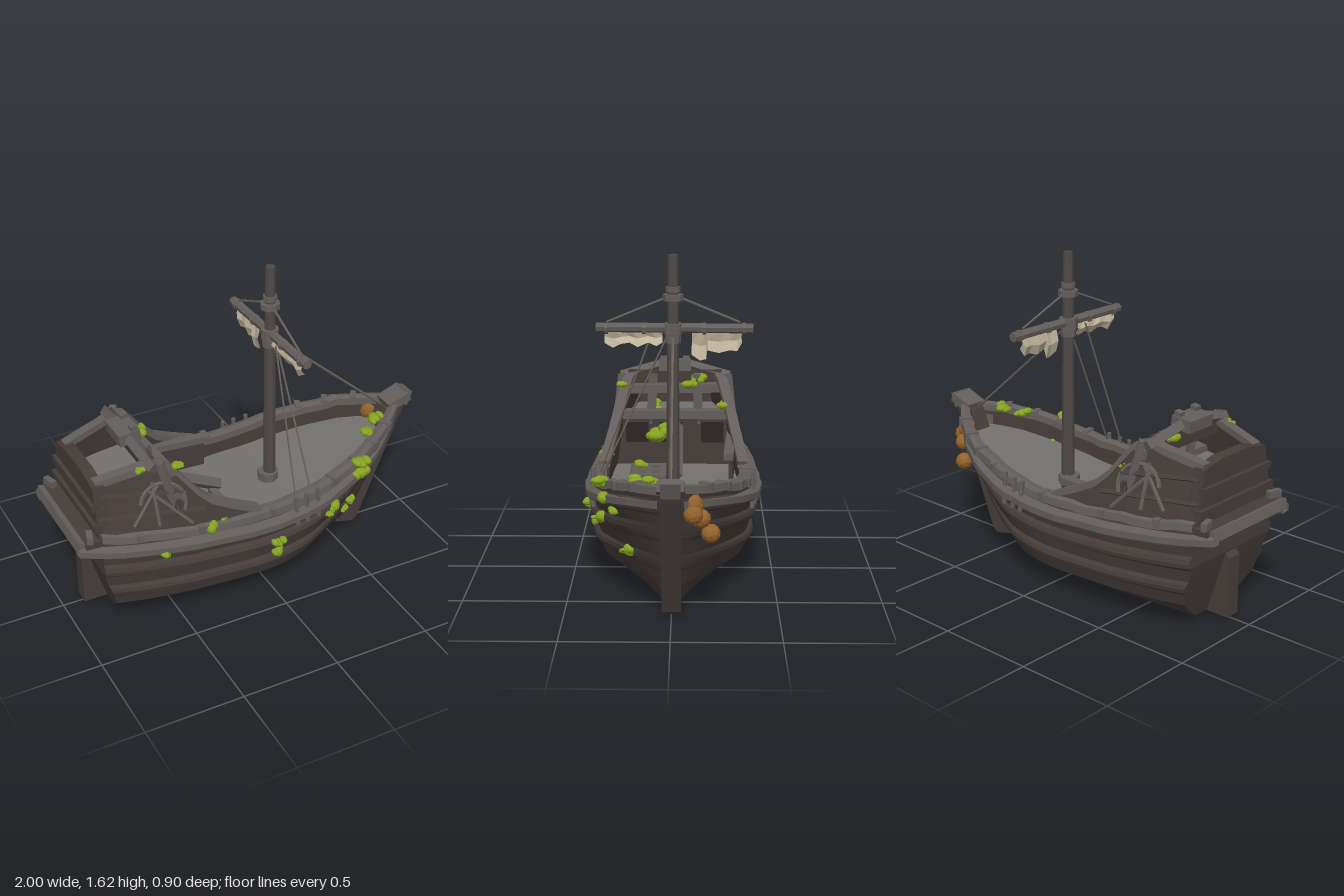
import * as THREE from 'three';

const V = (x, y, z) => new THREE.Vector3(x, y, z);
const lerp = THREE.MathUtils.lerp;
const paint = (name, color) => new THREE.MeshStandardMaterial({ name, color, flatShading: true, side: THREE.DoubleSide });

// piecewise-linear lookup in [[x, y], ...]
function look(table, x) {
  if (x <= table[0][0]) return table[0][1];
  for (let i = 1; i < table.length; i++) {
    const [a, b] = [table[i - 1], table[i]];
    if (x <= b[0]) return lerp(a[1], b[1], (x - a[0]) / (b[0] - a[0]));
  }
  return table[table.length - 1][1];
}

// hull lines: half-width along the length, rail height, and section with raised wales
const PLAN = [[-0.07, 0.275], [0, 0.315], [0.1, 0.36], [0.25, 0.4], [0.4, 0.42], [0.52, 0.425], [0.66, 0.4],
  [0.78, 0.34], [0.88, 0.25], [0.95, 0.15], [1, 0.05]];
const SHEER = [[-1, 0.575], [-0.85, 0.55], [-0.5, 0.515], [-0.1, 0.495], [0.2, 0.515], [0.5, 0.58], [0.72, 0.635], [0.92, 0.675]];
const SECTION = [[0, 0.42], [0.22, 0.84], [0.34, 0.89], [0.37, 0.94], [0.41, 0.955], [0.45, 0.94], [0.48, 0.9], [0.6, 0.93], [0.63, 0.98],
  [0.67, 0.99], [0.71, 0.97], [0.74, 0.93], [0.82, 0.95], [0.84, 1.02], [0.92, 1.01], [0.94, 0.93], [1, 0.91]];
const sheer = x => look(SHEER, x);
const sternX = t => lerp(-0.78, -0.88, Math.min(t * 1.6, 1));
const bowX = t => lerp(0.66, 0.9, t);

function hullPoint(s, t, side = 1) {
  const x = lerp(sternX(t), bowX(t), s);
  const bow = 1 - 0.55 * (1 - t) * THREE.MathUtils.smoothstep(s, 0.55, 1);
  return V(x, lerp(0.03, sheer(x), t), side * look(PLAN, s) * look(SECTION, t) * bow);
}
// point on the planking at a given x and y
function onHull(x, y, side = 1) {
  const t = (y - 0.03) / (sheer(x) - 0.03);
  return hullPoint((x - sternX(t)) / (bowX(t) - sternX(t)), t, side);
}
const railZ = x => onHull(x, sheer(x)).z;

// skin over rows of points
function loft(rows, closed = false) {
  const n = rows[0].length, pos = [], idx = [];
  rows.forEach(r => r.forEach(p => pos.push(p.x, p.y, p.z)));
  for (let i = 0; i < rows.length - 1; i++)
    for (let j = 0; j < (closed ? n : n - 1); j++) {
      const a = i * n + j, b = i * n + (j + 1) % n;
      idx.push(a, b, a + n, b, b + n, a + n);
    }
  const g = new THREE.BufferGeometry();
  g.setAttribute('position', new THREE.Float32BufferAttribute(pos, 3));
  g.setIndex(idx);
  g.computeVertexNormals();
  return g;
}

export function createModel() {
  const ship = new THREE.Group();
  ship.name = 'ship';
  const dark = paint('dark planking', 0x463d3a), wood = paint('weathered wood', 0x635e5b), deckMat = paint('grey deck', 0x72706d);
  const shade = paint('dark recess', 0x2b2625), rope = paint('rope', 0x686159), cloth = paint('sailcloth', 0xc2b69e);
  const moss = paint('moss', 0x84a322), fungus = paint('fungus', 0x94622c), spar = paint('mast wood', 0x504a47);
  let seed = 7;
  const jitter = r => ((seed = (seed * 16807) % 2147483647) / 2147483647 * 2 - 1) * r;

  const add = (name, geo, mat) => {
    const m = new THREE.Mesh(geo, mat);
    m.name = name;
    ship.add(m);
    return m;
  };
  const box = (name, mat, w, h, d, x, y, z, rz = 0, ry = 0) => {
    const m = add(name, new THREE.BoxGeometry(w, h, d), mat);
    m.position.set(x, y, z);
    m.rotation.set(0, ry, rz);
    return m;
  };
  const rod = (name, mat, a, b, r, sides = 5, r2 = r) => {
    const m = add(name, new THREE.CylinderGeometry(r2, r, a.distanceTo(b), sides), mat);
    m.position.copy(a).add(b).multiplyScalar(0.5);
    m.quaternion.setFromUnitVectors(V(0, 1, 0), b.clone().sub(a).normalize());
    return m;
  };
  const slab = (name, mat, pts, depth) => {
    const g = new THREE.ExtrudeGeometry(new THREE.Shape(pts.map(p => new THREE.Vector2(...p))), { depth, bevelEnabled: false });
    return add(name, g.translate(0, 0, -depth / 2), mat);
  };
  const blob = (name, mat, p, sx, sy, sz) => {
    const m = add(name, new THREE.IcosahedronGeometry(1, 1), mat);
    m.position.copy(p);
    m.scale.set(sx, sy, sz);
    return m;
  };
  // lumpy patch made of a few uneven lobes
  const patch = (name, mat, p, sx, sy, sz) => {
    blob(name, mat, p, sx * 0.85, sy * 0.85, sz);
    for (const dir of [1, -1]) {
      const q = V(p.x + dir * sx * 0.6, p.y + jitter(sy * 0.7), p.z + jitter(sz * 0.5));
      blob(name, mat, q, sx * 0.55, sy * 0.7, sz * 0.8).rotation.z = jitter(0.8);
    }
  };

  // hull planking, transom, bulwark lining and deck
  const S = Array.from({ length: 25 }, (_, i) => i / 24);
  const ring = s => [...SECTION.map(([t]) => hullPoint(s, t, -1)).reverse(), ...SECTION.map(([t]) => hullPoint(s, t))];
  add('hull', loft(S.map(ring)), dark);
  add('transom', loft(SECTION.map(([t]) => [hullPoint(0, t, -1), hullPoint(0, t)])), dark);
  const inner = (s, side, drop) => {
    const p = hullPoint(s, 1, side);
    return V(p.x, p.y - drop, side * Math.max(Math.abs(p.z) - 0.05, 0.005));
  };
  add('deck', loft(S.map(s => [inner(s, -1, 0.09), inner(s, 1, 0.09)])), deckMat);

  for (const side of [1, -1]) {
    add('bulwarkLining', loft(S.map(s => [inner(s, side, -0.02), inner(s, side, 0.1)])), dark);
    // rail cap, and the upper wale running past the stern
    add('railCap', loft(S.map(s => {
      const p = hullPoint(s, 1, side), w = Math.abs(p.z) + jitter(0.004), lift = jitter(0.006);
      return [[0.016, -0.012], [0.01, 0.024], [-0.02, 0.032], [-0.055, 0.026], [-0.055, -0.012]]
        .map(([o, h]) => V(p.x, p.y + h + lift, side * Math.max(w + o, 0.004)));
    }), true), wood);
    add('upperWale', loft([-0.065, -0.03, ...S].map(s => {
      const p = hullPoint(s, 0.9, side), w = Math.abs(p.z) + jitter(0.003);
      return [[0.012, -0.02], [0.012, 0.012], [-0.035, 0.026], [-0.035, -0.025]].map(([o, h]) => V(p.x, p.y + h, side * Math.max(w + o, 0.004)));
    }), true), wood);

    // aftercastle side: an upswept wall leaning in towards the stern, with a cap rail
    const TOP = [[-0.87, 0.82], [-0.78, 0.84], [-0.66, 0.865], [-0.59, 0.89], [-0.52, 0.865], [-0.46, 0.79], [-0.4, 0.71], [-0.33, 0.645], [-0.23, 0.595], [-0.08, 0.53]];
    const wallZ = (x, y) => railZ(x) - 0.01 - look([[-0.88, 0.29], [-0.5, 0.2]], x) * (y - sheer(x));
    add('aftercastleSide', loft(TOP.map(([x, y]) => {
      const zb = railZ(x) - 0.005, zt = wallZ(x, y);
      return [V(x, sheer(x), side * zb), V(x, y, side * zt), V(x, y, side * (zt - 0.035)), V(x, sheer(x) - 0.09, side * (zb - 0.045))];
    }), true), dark);
    add('aftercastleCap', loft(TOP.map(([x, y]) => {
      const z = wallZ(x, y);
      return [[0.013, -0.018], [0.01, 0.016], [-0.042, 0.016], [-0.042, -0.018]].map(([o, h]) => V(x, y + h, side * (z + o)));
    }), true), wood);
    // plank lines and carved bracing on the wall
    const onWall = (x, y) => V(x, y, side * (wallZ(x, y) + 0.01));
    for (const [y, end] of [[0.64, -0.37], [0.75, -0.47]]) rod('aftercastleBatten', dark, onWall(-0.88, y + 0.02), onWall(end, y - 0.02), 0.014, 4);
    const arc = Array.from({ length: 9 }, (_, i) => onWall(-0.57 + 0.11 * Math.cos(i * 0.42 - 0.4), 0.68 + 0.11 * Math.sin(i * 0.42 - 0.4)));
    add('archBrace', new THREE.TubeGeometry(new THREE.CatmullRomCurve3(arc), 14, 0.01, 5), wood);
    for (const [x0, y0, x1, y1] of [[-0.72, 0.6, -0.58, 0.79], [-0.64, 0.77, -0.44, 0.56], [-0.6, 0.58, -0.61, 0.8]])
      rod('crossBrace', wood, onWall(x0, y0), onWall(x1, y1), 0.009);

    // shroud fastenings over the rail, and rail cleats
    for (const x of [0.1, 0.16, 0.23]) {
      const a = onHull(x, sheer(x), side), b = onHull(x + 0.01, 0.4, side);
      rod('lanyard', wood, V(a.x, a.y + 0.05, a.z + side * 0.015), V(b.x, b.y, b.z + side * 0.02), 0.012);
    }
    for (const x of [-0.93, -0.7, -0.4, -0.02, 0.34, 0.5, 0.63, 0.76]) {
      const s = (x + 0.88) / 1.78, p = hullPoint(s, 1, side), q = hullPoint(s + 0.01, 1, side);
      box('railCleat', wood, 0.03, 0.04, 0.07, x, p.y + 0.012, p.z - side * 0.014, 0, -Math.atan2(q.z - p.z, q.x - p.x));
    }
  }

  // stern: counter ledges, upper transom, rudder
  box('sternLedge', wood, 0.06, 0.05, 0.55, -0.965, 0.535, 0, -0.25);
  box('sternCounter', dark, 0.1, 0.08, 0.58, -0.91, 0.52, 0);
  slab('upperTransom', dark, [[-0.29, 0.5], [0.29, 0.5], [0.23, 0.82], [0.1, 0.845], [-0.1, 0.845], [-0.23, 0.82]], 0.06).geometry.rotateY(-Math.PI / 2).translate(-0.86, 0, 0);
  for (const [y, w] of [[0.62, 0.55], [0.72, 0.5]]) box('transomBatten', dark, 0.04, 0.035, w, -0.89, y, 0);
  slab('rudder', dark, [[-0.9, 0.025], [-0.76, 0.025], [-0.77, 0.1], [-0.82, 0.37], [-0.87, 0.36], [-0.9, 0.33]], 0.08);

  // stem post and its head
  slab('stemPost', dark, [[0.56, 0.03], [0.66, 0.008], [0.69, 0.03], [0.965, 0.7], [0.95, 0.72], [0.84, 0.66]], 0.09);
  box('stemHead', wood, 0.13, 0.05, 0.12, 0.915, 0.695, 0, 0.35);
  box('stemHorn', wood, 0.04, 0.08, 0.09, 0.965, 0.7, 0, -0.35);

  // raised aft deck with its bulkhead and railing
  add('aftDeck', loft([-0.85, -0.7, -0.5].map(x => [V(x, 0.69, 0.08 - railZ(x)), V(x, 0.69, railZ(x) - 0.08)])), deckMat);
  box('bulkhead', dark, 0.03, 0.29, 0.66, -0.5, 0.55, 0);
  for (const z of [-0.2, 0.02, 0.2]) box('bulkheadOpening', shade, 0.006, 0.11, 0.12, -0.482, 0.6, z);
  box('bulkheadBeam', wood, 0.07, 0.045, 0.64, -0.49, 0.7, 0);
  box('railingBeam', wood, 0.06, 0.045, 0.58, -0.54, 0.83, 0, 0, 0.06);
  for (const z of [-0.29, -0.12, 0.12, 0.29]) rod('railingPost', wood, V(-0.5, 0.64, z * 1.07), V(-0.57, 0.9, z * 0.97), 0.024, 4);
  box('archBoard', dark, 0.03, 0.1, 0.5, -0.6, 0.87, 0);
  for (const side of [1, -1]) rod('archBeam', wood, V(-0.6, 0.88, side * 0.29), V(-0.63, 0.94, side * 0.06), 0.032, 4);
  box('archCrown', wood, 0.11, 0.06, 0.17, -0.63, 0.94, 0, 0.1);
  for (const z of [-0.06, 0.06]) box('archKnob', wood, 0.035, 0.05, 0.035, -0.6, 0.97, z, 0.2);

  // hatch grating, side beam and bench on the main deck
  box('hatchPit', shade, 0.22, 0.008, 0.22, -0.26, 0.418, 0.11);
  for (const x of [-0.36, -0.26, -0.16]) box('gratingBar', wood, 0.04, 0.04, 0.24, x, 0.435, 0.11);
  for (const z of [0.06, 0.13, 0.2]) box('gratingBar', wood, 0.22, 0.035, 0.03, -0.26, 0.435, z);
  rod('stairBeam', wood, V(-0.49, 0.64, -0.01), V(-0.12, 0.46, -0.01), 0.035, 4);
  box('sideBench', wood, 0.42, 0.035, 0.05, -0.27, 0.58, -0.29, -0.03, -0.06);
  box('sideBenchPanel', dark, 0.4, 0.16, 0.02, -0.27, 0.49, -0.3, 0, -0.06);

  // mast with collars
  const mx = 0.16;
  rod('mast', spar, V(mx + 0.01, 0.4, 0), V(mx, 1.45, 0), 0.034, 8, 0.027);
  rod('mastHead', spar, V(mx, 1.42, 0), V(mx, 1.625, 0), 0.028, 8, 0.025);
  for (const [y, r, h] of [[0.44, 0.055, 0.05], [1.42, 0.05, 0.03], [1.46, 0.036, 0.025], [1.27, 0.046, 0.05], [1.22, 0.038, 0.04]])
    rod('mastCollar', wood, V(mx, y - h / 2, 0), V(mx, y + h / 2, 0), r, 8);

  // yard, lifts, stay and shrouds
  rod('yard', wood, V(mx, 1.27, -0.385), V(mx, 1.275, 0.37), 0.024, 7);
  for (const z of [-0.34, -0.15, 0.14, 0.32]) rod('yardBinding', rope, V(mx, 1.27, z - 0.008), V(mx, 1.27, z + 0.008), 0.029, 7);
  for (const side of [1, -1]) rod('yardLift', rope, V(mx, 1.42, side * 0.03), V(mx, 1.3, side * 0.32), 0.006);
  rod('foreStay', rope, V(mx + 0.03, 1.23, 0), V(0.83, 0.68, 0), 0.007);
  rod('shroud', rope, V(mx - 0.02, 1.25, 0.1), V(0.12, 0.54, 0.36), 0.005);
  rod('shroud', rope, V(mx + 0.02, 1.23, 0.03), V(0.21, 0.54, 0.35), 0.005);

  // torn remains of the sail: [z, lower edge]
  const rags = [
    [[0.05, 1.2], [0.08, 1.185], [0.12, 1.2], [0.17, 1.18], [0.21, 1.2], [0.25, 1.195], [0.29, 1.175], [0.33, 1.2]],
    [[-0.09, 1.14], [-0.13, 1.115], [-0.16, 1.12], [-0.165, 1.165], [-0.22, 1.15], [-0.27, 1.165], [-0.31, 1.16], [-0.33, 1.2]]];
  for (const rag of rags) add('sailRag', loft(rag.map(([z, low], i) => [
    V(mx, 1.265, z), V(mx - 0.018 + 0.008 * (i % 2), lerp(1.265, low, 0.55), z), V(mx + 0.01 * (i % 2), low, z)])), cloth);

  // moss on the planking: [x, y, length, height]
  for (const [x, y, w, h] of [[-0.6, 0.45, 0.022, 0.02], [-0.35, 0.51, 0.032, 0.035], [-0.01, 0.34, 0.036, 0.024], [0.01, 0.255, 0.03, 0.034],
    [0.36, 0.39, 0.03, 0.034], [0.52, 0.53, 0.05, 0.034], [0.54, 0.48, 0.03, 0.024], [0.54, 0.275, 0.026, 0.03], [0.49, 0.26, 0.02, 0.013], [0.31, 0.37, 0.02, 0.013]])
    patch('hullMoss', moss, onHull(x, y), w, h, 0.032);
  // moss on deck, rails and aftercastle: [x, y, z, size]
  for (const [x, y, z, r] of [[-0.7, 0.7, 0.12, 0.04], [-0.59, 0.88, -0.13, 0.048], [-0.53, 0.85, -0.08, 0.045], [-0.45, 0.75, -0.27, 0.04],
    [-0.44, 0.635, 0.03, 0.06], [-0.4, 0.6, 0.1, 0.055], [-0.46, 0.61, 0.09, 0.045], [-0.32, 0.46, 0.17, 0.035], [-0.28, 0.53, 0.34, 0.03],
    [-0.48, 0.86, 0.28, 0.03], [-0.66, 0.87, 0.25, 0.025], [0.65, 0.645, 0.16, 0.04], [0.74, 0.67, 0.09, 0.04], [0.51, 0.6, 0.33, 0.045]])
    patch('deckMoss', moss, V(x, y, z), r * 0.9, r * 0.6, r);
  // shelf fungus on the bow, drooping down the planks
  for (const [x, y, z, w, h, tilt] of [[0.82, 0.59, -0.1, 0.045, 0.058, 0.4], [0.85, 0.55, -0.1, 0.04, 0.045, 0.3], [0.81, 0.52, -0.135, 0.042, 0.045, 0.4], [0.76, 0.435, -0.18, 0.045, 0.045, 0.2]])
    blob('shelfFungus', fungus, V(x, y, z), w, h, 0.045).rotation.x = tilt;

  return ship;
}
